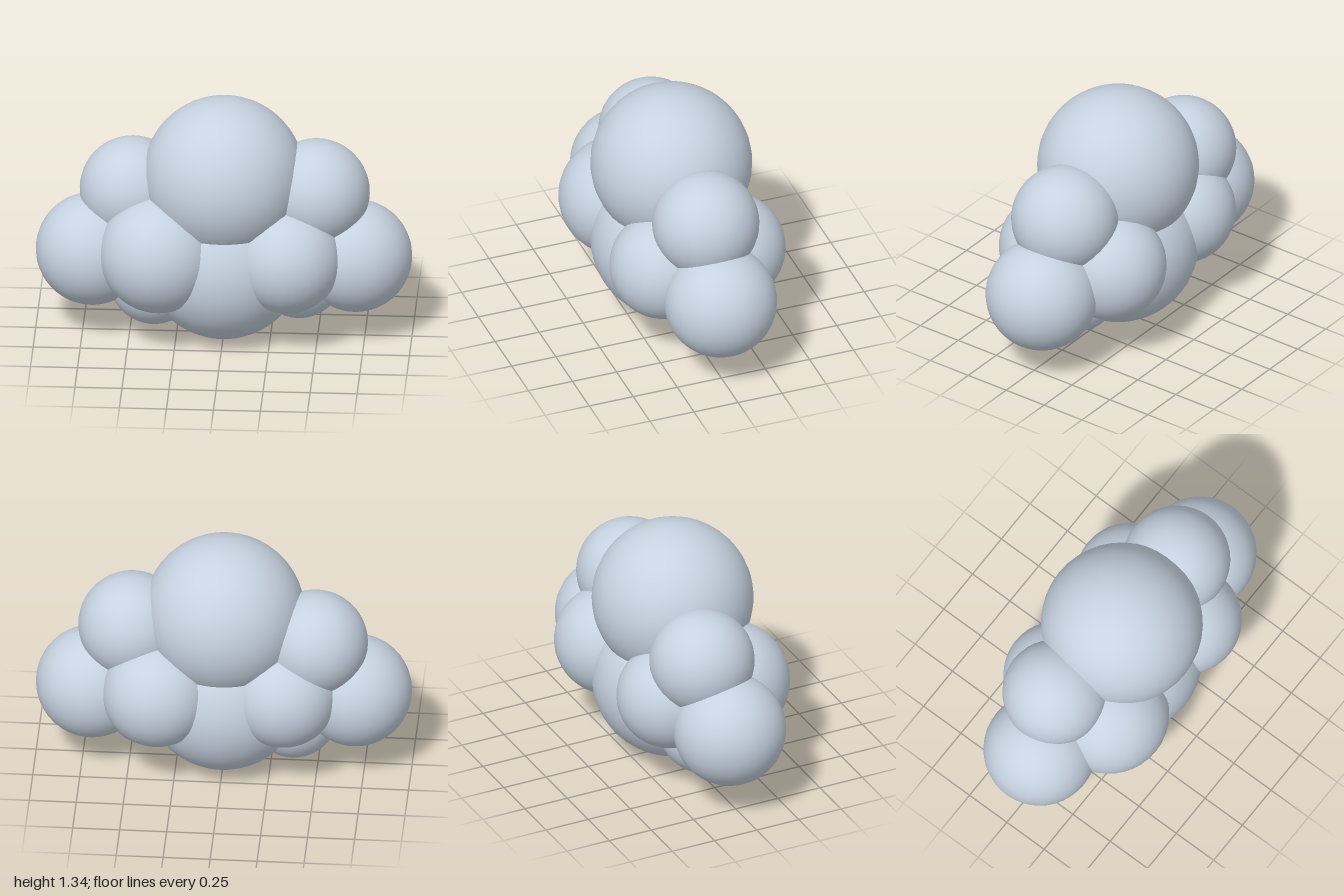
import * as THREE from 'three';

// A cloud built from overlapping smooth puffs.
export function createModel() {
  const cloud = new THREE.Group();
  cloud.name = 'cloud';
  const paleBlueGrey = new THREE.MeshStandardMaterial({ color: 0xc6d2e0 });
  paleBlueGrey.name = 'paleBlueGrey';

  // name, x, y, z, radius
  const puffs = [
    ['topPuff', 0, 0.91, 0, 0.43],
    ['bottomPuff', 0, 0.43, 0, 0.43],
    ['leftEndPuff', 0.7, 0.457, -0.015, 0.3],
    ['rightEndPuff', -0.7, 0.465, -0.01, 0.3],
    ['leftUpperPuff', 0.49, 0.825, -0.01, 0.285],
    ['rightUpperPuff', -0.49, 0.795, -0.07, 0.28],
    ['leftFrontPuff', 0.345, 0.512, 0.172, 0.29],
    ['rightFrontPuff', -0.335, 0.53, 0.172, 0.32],
    ['leftBackPuff', 0.34, 0.53, -0.205, 0.295],
    ['rightBackPuff', -0.33, 0.53, -0.18, 0.285],
    ['leftLowerPuff', 0.4, 0.35, -0.01, 0.24],
    ['rightLowerPuff', -0.37, 0.3, 0, 0.24],
  ];

  const sphere = new THREE.SphereGeometry(1, 40, 28);
  for (const [name, x, y, z, r] of puffs) {
    const puff = new THREE.Mesh(sphere, paleBlueGrey);
    puff.name = name;
    puff.position.set(x, y, z);
    puff.scale.setScalar(r);
    cloud.add(puff);
  }
  return cloud;
}
